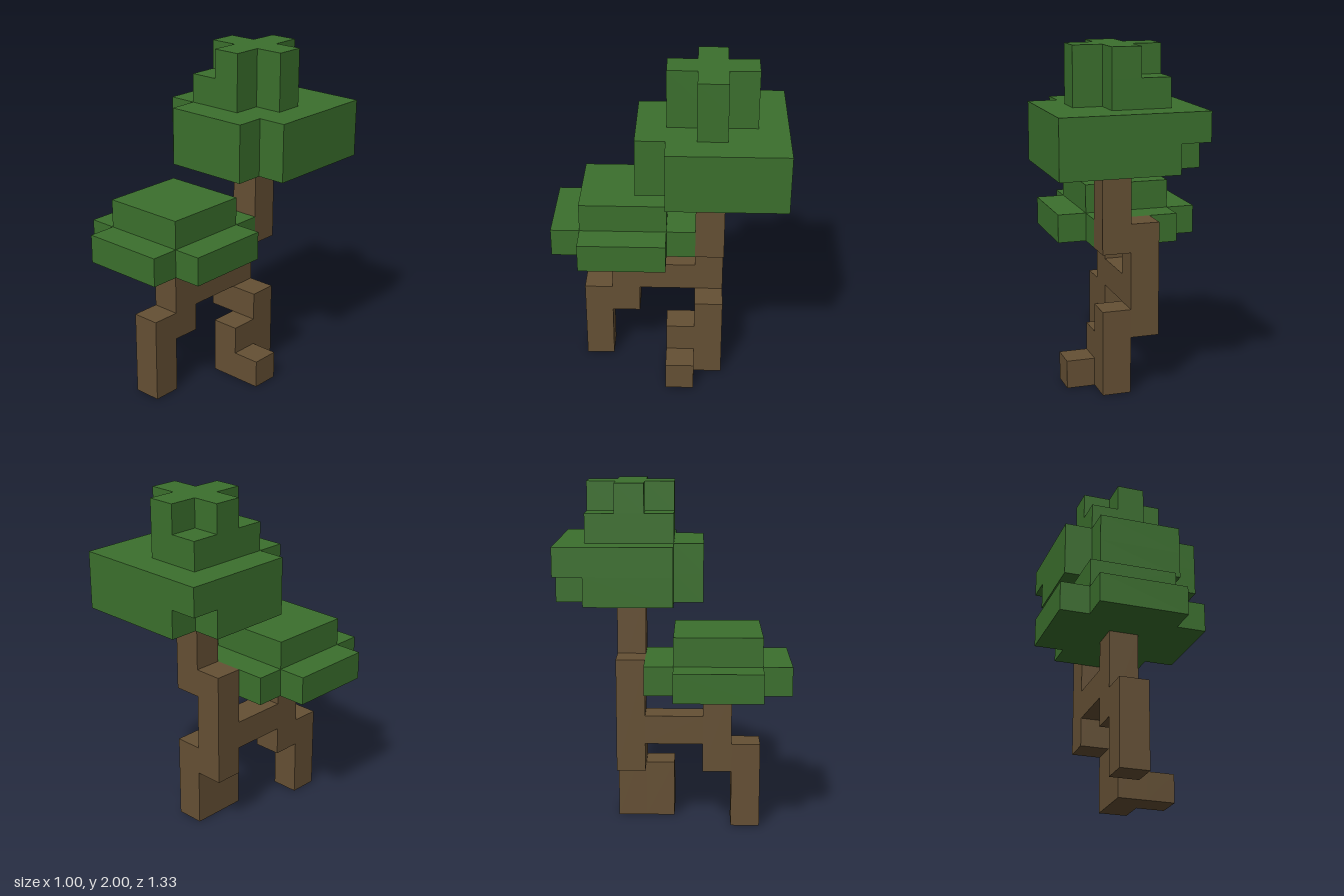
import * as THREE from 'three';

const U = 1 / 6; // one block

export function createModel() {
  const leaf = new THREE.MeshStandardMaterial({ color: 0x3b702d });
  leaf.name = 'leaf green';
  const bark = new THREE.MeshStandardMaterial({ color: 0x655034 });
  bark.name = 'bark brown';

  const model = new THREE.Group();
  model.name = 'blockTree';
  const group = (name) => {
    const g = new THREE.Group();
    g.name = name;
    model.add(g);
    return g;
  };

  // Box between two corners, in blocks
  const block = (parent, name, material, [x0, y0, z0], [x1, y1, z1]) => {
    const geo = new THREE.BoxGeometry((x1 - x0) * U, (y1 - y0) * U, (z1 - z0) * U);
    const mesh = new THREE.Mesh(geo, material);
    mesh.position.set((x0 + x1) / 2, (y0 + y1) / 2, (z0 + z1) / 2).multiplyScalar(U);
    mesh.name = name;
    parent.add(mesh);
  };

  // Flat layer of leaves: an outline of [x, z] points raised from y0 to y1
  const layer = (parent, name, y0, y1, outline) => {
    const shape = new THREE.Shape(outline.map(([x, z]) => new THREE.Vector2(x * U, -z * U)));
    const geo = new THREE.ExtrudeGeometry(shape, { depth: (y1 - y0) * U, bevelEnabled: false });
    geo.rotateX(-Math.PI / 2);
    const mesh = new THREE.Mesh(geo, leaf);
    mesh.position.y = y0 * U;
    mesh.name = name;
    parent.add(mesh);
  };

  // Back trunk, stepping sideways as it rises
  const trunk = group('backTrunk');
  block(trunk, 'lowerTrunk', bark, [0, 0, -2], [1, 3, -1]);
  block(trunk, 'middleTrunk', bark, [-1, 2, -2], [0, 6, -1]);
  block(trunk, 'upperTrunk', bark, [0, 5, -2], [1, 8, -1]);
  block(trunk, 'root', bark, [0, 0, -1], [1, 2, 0]);
  block(trunk, 'rootTip', bark, [1, 0, -1], [2, 1, 0]);

  // Front trunk and the branch joining it to the back one
  const front = group('frontTrunk');
  block(front, 'frontRoot', bark, [-1, 0, 2], [0, 3, 3]);
  block(front, 'frontStem', bark, [-1, 2, 1], [0, 5, 2]);
  block(front, 'branch', bark, [-1, 3, -1], [0, 4, 1]);

  // Lower canopy: a square without corners, and a smaller square on top
  const low = group('lowerCanopy');
  layer(low, 'lowerLeaves', 5, 6, [
    [-2, -1], [1, -1], [1, 0], [2, 0], [2, 3], [1, 3],
    [1, 4], [-2, 4], [-2, 3], [-3, 3], [-3, 0], [-2, 0],
  ]);
  block(low, 'lowerLeavesTop', leaf, [-2, 6, 0], [1, 7, 3]);

  // Upper canopy: two layers, the under one missing a back corner
  const high = group('upperCanopy');
  const rim = [[3, -4], [3, 0], [2, 0], [2, 1], [-1, 1], [-1, 0], [-2, 0]];
  layer(high, 'upperLeavesUnder', 8, 9, [...rim, [-2, -3], [-1, -3], [-1, -4]]);
  layer(high, 'upperLeavesOver', 9, 10, [...rim, [-2, -4]]);

  // Crown: a cross on a base that keeps its two right corners
  const arm = [[1, -3], [1, -2], [2, -2], [2, -1], [1, -1], [1, 0]];
  layer(high, 'crownBase', 10, 11, [[-1, -3], ...arm, [-1, 0]]);
  layer(high, 'crownCross', 11, 12, [
    [0, -3], ...arm, [0, 0], [0, -1], [-1, -1], [-1, -2], [0, -2],
  ]);

  return model;
}
